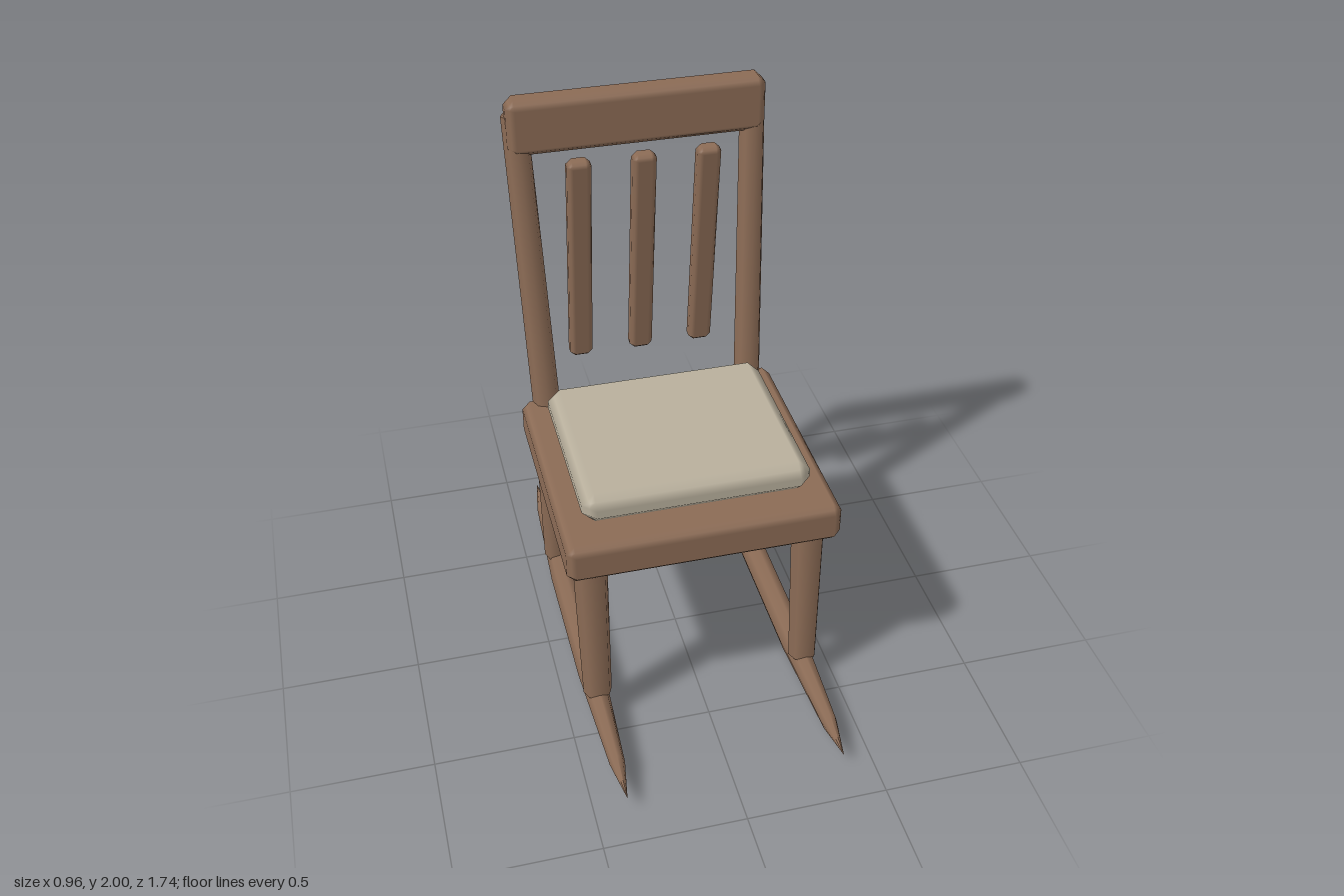
import * as THREE from 'three';

const wood = new THREE.MeshStandardMaterial({ color: 0x8b6b55 });
const cloth = new THREE.MeshStandardMaterial({ color: 0xb8af9c });

// Box with a single 45 degree chamfer on every edge and smooth normals
function chamferBox(w, h, d, c) {
  const geo = new THREE.BoxGeometry(1, 1, 1, 3, 3, 3);
  const pos = geo.attributes.position, nor = geo.attributes.normal;
  const half = [w / 2 - c, h / 2 - c, d / 2 - c];
  for (let i = 0; i < pos.count; i++) {
    const p = [pos.getX(i), pos.getY(i), pos.getZ(i)];
    const n = p.map(v => (Math.abs(v) > 0.4 ? Math.sign(v) : 0));
    const sum = n.reduce((s, v) => s + Math.abs(v), 0);
    const q = p.map((v, k) => Math.sign(v) * half[k] + (c * n[k]) / sum);
    const len = Math.hypot(...n);
    pos.setXYZ(i, ...q);
    nor.setXYZ(i, n[0] / len, n[1] / len, n[2] / len);
  }
  return geo;
}

// Tapered eight-sided rod from point a (bottom) to point b (top)
function rod(a, b, rBottom, rTop) {
  const from = new THREE.Vector3(...a), to = new THREE.Vector3(...b);
  const dir = to.clone().sub(from);
  const mesh = new THREE.Mesh(new THREE.CylinderGeometry(rTop, rBottom, dir.length(), 8), wood);
  mesh.position.copy(from).add(to).multiplyScalar(0.5);
  mesh.quaternion.setFromUnitVectors(new THREE.Vector3(0, 1, 0), dir.normalize());
  return mesh;
}

export function createModel() {
  const chair = new THREE.Group();
  chair.name = 'rockingChair';
  const add = (mesh, name) => {
    mesh.name = name;
    chair.add(mesh);
    return mesh;
  };
  const box = (name, size, c, at, material = wood) => {
    const mesh = add(new THREE.Mesh(chamferBox(...size, c), material), name);
    mesh.position.set(...at);
    return mesh;
  };

  // Seat, cushion and top rail
  box('seat', [0.965, 0.15, 0.91], 0.03, [0, 0.757, 0]);
  box('cushion', [0.805, 0.12, 0.705], 0.045, [0, 0.89, 0], cloth);
  box('topRail', [0.915, 0.205, 0.105], 0.03, [0, 1.8975, -0.547]);

  // Leaning back slats
  for (const x of [-0.23, 0, 0.23]) {
    box('backSlat', [0.086, 0.87, 0.066], 0.02, [x, 1.37, -0.491]).rotation.x = 0.13;
  }

  // Rocker: spindle pointed at both ends, flattened sideways
  const profile = [[0, -0.87], [0.038, -0.71], [0.067, -0.27], [0.067, 0.27], [0.038, 0.71], [0, 0.87]]
    .map(([r, y]) => new THREE.Vector2(r, y));
  const rockerGeo = new THREE.LatheGeometry(profile, 8).rotateX(Math.PI / 2).scale(0.72, 1, 1);

  for (const [s, side] of [[1, 'left'], [-1, 'right']]) {
    add(new THREE.Mesh(rockerGeo, wood), side + 'Rocker').position.set(s * 0.387, 0.069, 0);
    add(rod([s * 0.387, 0.105, 0.386], [s * 0.39, 0.72, 0.353], 0.052, 0.061), side + 'FrontLeg');
    add(rod([s * 0.387, 0.105, -0.386], [s * 0.39, 0.72, -0.353], 0.052, 0.061), side + 'BackLeg');
    add(rod([s * 0.39, 0.81, -0.422], [s * 0.423, 1.93, -0.566], 0.051, 0.046), side + 'BackPost');
  }
  return chair;
}
